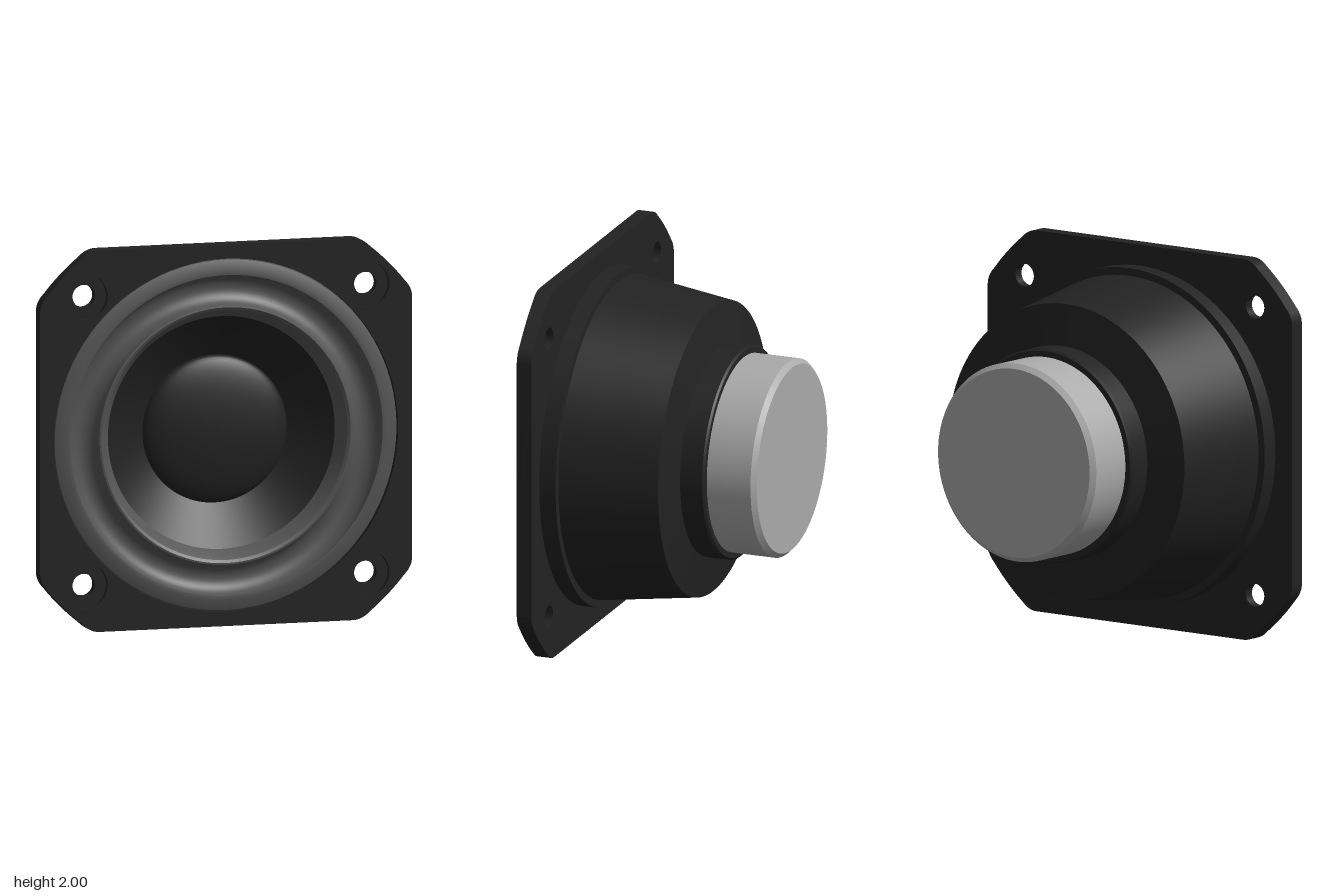
import * as THREE from 'three';
import { toCreasedNormals } from 'three/addons/utils/BufferGeometryUtils.js';

const paint = (color) => new THREE.MeshStandardMaterial({ color });
const black = paint(0x222222);
const rubber = paint(0x555555);
const metal = paint(0xaaaaaa);

// Turned part around the z axis; profile points are [radius, z], running back -> rim -> front.
function turned(name, profile, material) {
  const points = profile.map(([r, z]) => new THREE.Vector2(r, z));
  const geometry = toCreasedNormals(new THREE.LatheGeometry(points, 96), 0.45);
  geometry.rotateX(Math.PI / 2);
  const mesh = new THREE.Mesh(geometry, material);
  mesh.name = name;
  return mesh;
}

// Points along an arc in the [radius, z] plane
function arc(r, z, rx, rz, from, to, steps) {
  return Array.from({ length: steps + 1 }, (_, i) => {
    const a = from + (to - from) * i / steps;
    return [r + rx * Math.cos(a), z + rz * Math.sin(a)];
  });
}

// Square plate outline with bowed, softened corners
function plateOutline() {
  const shape = new THREE.Shape();
  const R = Math.hypot(0.77, 0.96);
  const start = Math.atan2(0.77, 0.96);
  const end = Math.PI / 2 - start;
  for (let k = 0; k < 4; k++) {
    const c = Math.round(Math.cos(k * Math.PI / 2)), s = Math.round(Math.sin(k * Math.PI / 2));
    const at = (x, y) => [x * c - y * s, x * s + y * c];
    if (k === 0) shape.moveTo(...at(1, 0.68));
    else shape.lineTo(...at(1, 0.68));
    shape.quadraticCurveTo(...at(1, 0.73), ...at(0.96, 0.77));
    for (let i = 1; i <= 8; i++) {
      const a = start + (end - start) * i / 8;
      shape.lineTo(...at(R * Math.cos(a), R * Math.sin(a)));
    }
    shape.quadraticCurveTo(...at(0.73, 1), ...at(0.68, 1));
  }
  shape.closePath();
  return shape;
}

// One layer of the mounting plate with a central opening and four screw holes
function plateLayer(name, z, depth, opening, holeRadius) {
  const shape = plateOutline();
  const cut = (x, y, r) => shape.holes.push(new THREE.Path().absarc(x, y, r, 0, Math.PI * 2, true));
  cut(0, 0, opening);
  for (const x of [-0.757, 0.757]) for (const y of [-0.757, 0.757]) cut(x, y, holeRadius);
  const geometry = new THREE.ExtrudeGeometry(shape, { depth, bevelEnabled: false, curveSegments: 48 });
  const mesh = new THREE.Mesh(toCreasedNormals(geometry, 0.45), black);
  mesh.name = name;
  mesh.position.z = z;
  return mesh;
}

export function createModel() {
  const model = new THREE.Group();
  model.name = 'loudspeakerDriver';
  const driver = new THREE.Group();
  driver.name = 'driver';
  driver.position.y = 1;
  model.add(driver);

  // Mounting plate: narrow screw holes behind, wider counterbores in front
  driver.add(plateLayer('mountingPlateBack', 0.48, 0.05, 0.86, 0.06));
  driver.add(plateLayer('mountingPlateFront', 0.53, 0.032, 0.925, 0.12));

  // Basket with stepped shoulder and rear collar
  driver.add(turned('basket', [
    [0, -0.305], [0.55, -0.305], [0.56, -0.295], [0.56, -0.172],
    [0.775, -0.135], [0.85, 0.39], [0.89, 0.39], [0.89, 0.485],
  ], black));

  // Magnet with chamfered rear edge
  driver.add(turned('magnet', [
    [0, -0.573], [0.495, -0.573], [0.52, -0.548], [0.52, -0.3],
  ], metal));

  // Surround: outer lip, concave roll and inner lip falling to the cone
  driver.add(turned('surround', [
    [0.925, 0.53], [0.918, 0.55], [0.86, 0.57], [0.84, 0.568],
    ...arc(0.76, 0.56, 0.08, 0.075, 0, -Math.PI, 16),
    [0.67, 0.562], [0.655, 0.553], [0.64, 0.53], [0.61, 0.47],
  ], rubber));

  // Cone and domed dust cap
  driver.add(turned('cone', [[0.615, 0.475], [0.61, 0.47], [0.37, 0.33]], black));
  driver.add(turned('dustCap', [
    [0.39, 0.335], ...arc(0, 0.345, 0.385, 0.08, 0, Math.PI / 2, 14),
  ].map(([r, z]) => [Math.max(r, 0), z]), black));

  return model;
}
